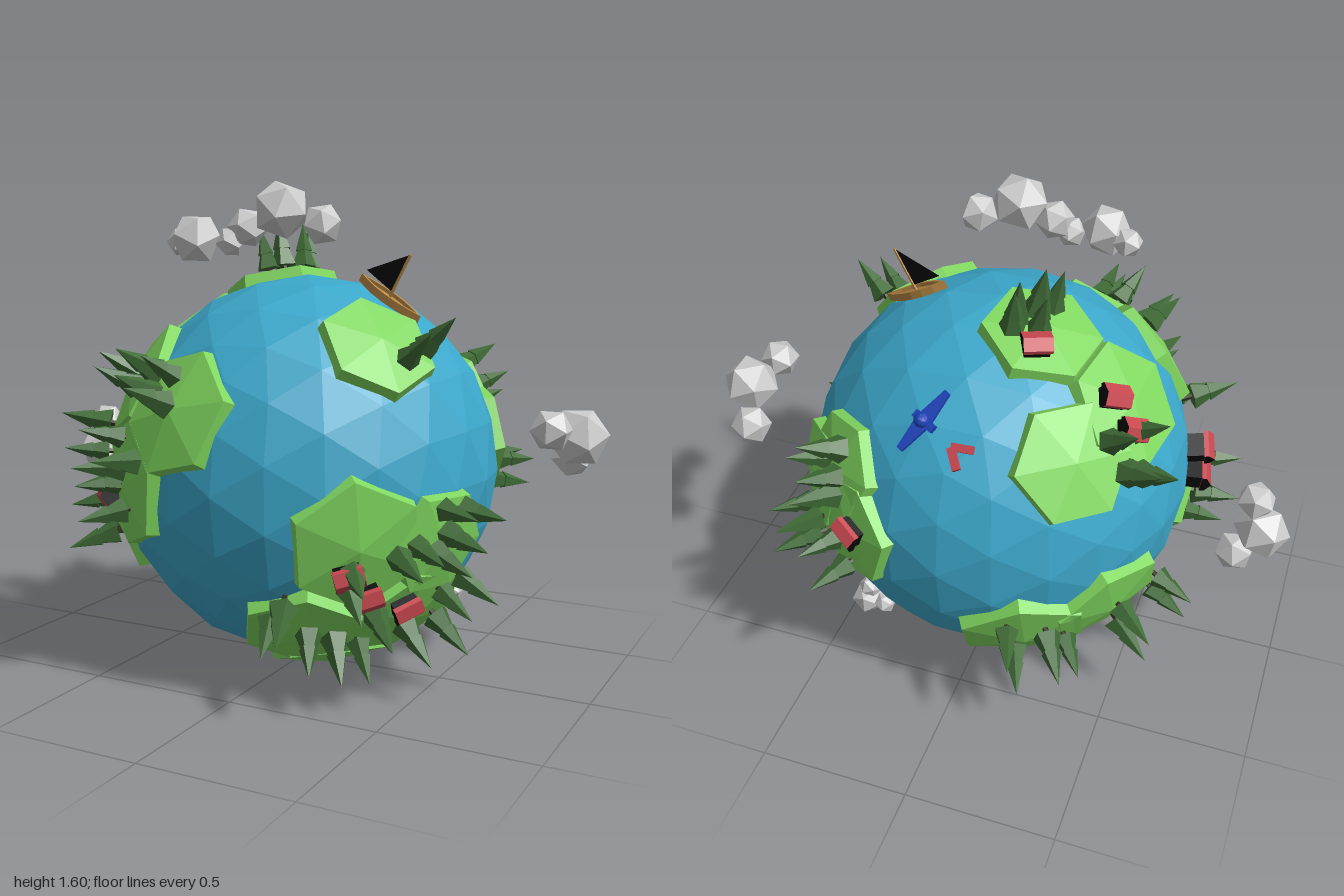
import * as THREE from 'three';
import { mergeGeometries } from 'three/addons/utils/BufferGeometryUtils.js';

const V = (x, y, z) => new THREE.Vector3(x, y, z);
const CENTRE = V(0, 0.665, -0.035);

function mat(name, color) {
  const m = new THREE.MeshStandardMaterial({ color, flatShading: true });
  m.name = name;
  return m;
}
const M = {
  ocean: mat('ocean blue', 0x3ca8cb),
  grass: mat('grass green', 0x80d75f),
  leaf: mat('tree green', 0x3f6b36),
  bark: mat('dark bark', 0x33301f),
  red: mat('roof red', 0xc8474f),
  black: mat('black', 0x0a0a0a),
  cloud: mat('cloud grey', 0xcdcdcd),
  wood: mat('boat wood', 0xba8a46),
  blue: mat('plane blue', 0x1f42b8),
};
M.black.side = THREE.DoubleSide;

function mesh(name, geo, material, parent) {
  const m = new THREE.Mesh(geo, material);
  m.name = name;
  parent.add(m);
  return m;
}

// Stand an object on the globe: its y points outward, its z leans toward a given direction
function stand(obj, dir, radius, toward) {
  const n = dir.clone().normalize();
  const z = toward.clone().addScaledVector(n, -toward.dot(n)).normalize();
  const x = V().crossVectors(n, z);
  obj.quaternion.setFromRotationMatrix(new THREE.Matrix4().makeBasis(x, n, z));
  obj.position.copy(CENTRE).addScaledVector(n, radius);
  return obj;
}

// Map two coordinates on one side of the globe to an outward direction
const SIDES = {
  front: { u: V(1, 0, 0), v: V(0, 1, 0), d: V(0, 0, 1), o: [0, 0.665] },
  right: { u: V(0, 0, 1), v: V(0, 1, 0), d: V(1, 0, 0), o: [-0.035, 0.665] },
  top: { u: V(1, 0, 0), v: V(0, 0, 1), d: V(0, 1, 0), o: [0, -0.035] },
  backLeft: { u: V(-0.707, 0, 0.707), v: V(0.353, 0.866, 0.353), d: V(-0.612, 0.5, -0.612), o: [0, 0] },
};
function onSide(side, [a, b], radius) {
  const s = SIDES[side], p = a - s.o[0], q = b - s.o[1];
  const depth = Math.sqrt(Math.max(0, radius * radius - p * p - q * q));
  return V().addScaledVector(s.u, p).addScaledVector(s.v, q).addScaledVector(s.d, depth);
}

// Six-sided land plate, bent to follow the globe
function plateGeometry(r) {
  const g = new THREE.CylinderGeometry(r, r * 1.05, 0.06, 6, 1, false, Math.PI / 6);
  const p = g.attributes.position;
  for (let i = 0; i < p.count; i++) {
    const R = p.getY(i) > 0 ? 0.668 : 0.605;
    p.setY(i, Math.sqrt(R * R - p.getX(i) ** 2 - p.getZ(i) ** 2));
  }
  return g;
}

// Each island: plates as [x, y, z, size] from the globe centre
const ISLANDS = {
  frontLand: [[-0.17, 0.245, 0.588, 0.205], [-0.4, -0.015, 0.525, 0.21], [-0.45, 0.315, 0.366, 0.2], [-0.57, -0.2, 0.27, 0.19]],
  topLand: [[-0.47, 0.44, -0.15, 0.2], [-0.17, 0.62, -0.115, 0.19], [-0.37, 0.37, -0.41, 0.19]],
  backLand: [[-0.25, -0.31, -0.52, 0.22], [-0.5, -0.25, -0.36, 0.21]],
  boatLand: [[0.37, 0.43, 0.26, 0.185]],
  rightLand: [[0.468, -0.42, 0.2, 0.205], [0.42, -0.145, 0.485, 0.21], [0.596, -0.165, 0.25, 0.175],
    [0.2, -0.465, 0.42, 0.2], [0.156, -0.618, 0.15, 0.19]],
  backRightLand: [[0.5, 0.1, -0.41, 0.175], [0.34, 0.03, -0.56, 0.19], [0.39, 0.21, -0.48, 0.175]],
};

const TREES = {
  front: [[-0.42, 1.03], [-0.38, 0.99], [-0.27, 1.04], [-0.19, 1.04], [-0.26, 0.98], [-0.19, 0.95],
    [-0.42, 0.82], [-0.31, 0.75], [-0.39, 0.72], [-0.43, 0.66], [-0.39, 0.57], [-0.62, 0.82], [-0.56, 0.74],
    [-0.69, 0.63], [-0.69, 0.51], [-0.63, 0.54], [-0.66, 0.41], [-0.55, 0.44]],
  right: [[0.28, 0.62], [0.19, 0.61], [0.26, 0.54], [0.36, 0.51], [0.41, 0.48], [0.29, 0.48], [0.51, 0.44],
    [0.49, 0.37], [0.57, 0.31], [0.55, 0.25], [0.47, 0.2], [0.41, 0.18], [0.32, 0.14], [0.38, 0.27],
    [0.23, 0.2], [0.17, 0.31], [0.1, 0.35], [0.09, 0.2], [0.26, 1.1], [0.16, 1.13],
    [-0.57, 0.99], [-0.55, 0.92], [-0.61, 0.9], [-0.63, 0.84], [-0.65, 0.65], [-0.67, 0.56], [-0.55, 0.56], [-0.5, 0.65], [-0.58, 0.66]],
  top: [[-0.18, -0.2], [-0.1, -0.19], [-0.15, -0.13], [-0.19, -0.08], [-0.1, -0.23],
    [-0.58, -0.36], [-0.55, -0.28], [-0.48, -0.38]],
  backLeft: [[-0.3, -0.5], [-0.25, -0.6], [-0.16, -0.56], [-0.08, -0.61], [0.12, -0.55], [0.16, -0.64],
    [0.3, -0.5], [0.33, -0.58], [0.13, -0.03]],
};

const HOUSES = {
  front: [[-0.48, 0.6], [-0.665, 0.73], [-0.665, 0.61]],
  right: [[0.48, 0.44], [0.41, 0.36], [0.27, 0.3], [-0.65, 0.73]],
  top: [[-0.5, -0.28], [-0.43, -0.25], [-0.18, -0.25]],
};

// Clouds: puffs as [x, y, z, radius]
const CLOUDS = {
  topCloud: [[-0.33, 1.41, 0.22, 0.05], [-0.25, 1.42, 0.26, 0.085], [-0.14, 1.41, 0.23, 0.05],
    [-0.09, 1.455, 0.21, 0.065], [0.02, 1.51, 0.19, 0.095], [0.15, 1.465, 0.16, 0.067]],
  rightCloud: [[0.85, 0.845, 0, 0.068], [0.902, 0.81, -0.125, 0.098], [0.85, 0.725, -0.245, 0.07]],
  leftCloud: [[-0.875, 0.74, -0.09, 0.065], [-0.907, 0.63, -0.1, 0.093], [-0.83, 0.515, -0.1, 0.068]],
  smallCloud: [[0.38, 0.18, -0.39, 0.06], [0.37, 0.235, -0.39, 0.042], [0.31, 0.19, -0.41, 0.038]],
};

// Pointed oval outline for the boat
function hullShape(l, w) {
  const s = new THREE.Shape();
  s.moveTo(-l, 0);
  s.quadraticCurveTo(0, -2 * w, l, 0);
  s.quadraticCurveTo(0, 2 * w, -l, 0);
  return s;
}
function flatExtrude(shape, depth) {
  return new THREE.ExtrudeGeometry(shape, { depth, bevelEnabled: false, curveSegments: 6 });
}
function polygon(points) {
  return new THREE.Shape(points.map(([x, y]) => new THREE.Vector2(x, y)));
}

function makeBoat() {
  const boat = new THREE.Group();
  boat.name = 'boat';
  const rim = hullShape(0.135, 0.034);
  rim.holes.push(hullShape(0.115, 0.024));
  mesh('hullRim', flatExtrude(rim, 0.026).rotateX(-Math.PI / 2), M.wood, boat);
  mesh('hullFloor', flatExtrude(hullShape(0.125, 0.03), 0.014).rotateX(-Math.PI / 2), M.wood, boat);
  mesh('mast', new THREE.CylinderGeometry(0.005, 0.005, 0.17, 5).translate(0, 0.085, 0), M.wood, boat);
  mesh('sail', new THREE.ShapeGeometry(polygon([[0, 0.17], [-0.125, 0.045], [0, 0.035]])), M.black, boat);
  return boat;
}

function makePlane() {
  const plane = new THREE.Group();
  plane.name = 'plane';
  // Wing along z, nose toward +x
  const wing = polygon([[-0.01, -0.11], [0.01, -0.11], [0.026, 0], [0.01, 0.11], [-0.01, 0.11], [-0.026, 0]]);
  mesh('wing', flatExtrude(wing, 0.012).rotateX(-Math.PI / 2), M.blue, plane);
  mesh('body', new THREE.BoxGeometry(0.08, 0.02, 0.024), M.blue, plane);
  mesh('cockpit', new THREE.IcosahedronGeometry(0.024, 1).translate(0, 0.022, 0), M.blue, plane);
  for (const s of [-1, 1]) {
    const fin = mesh('tailFin', new THREE.BoxGeometry(0.07, 0.014, 0.024), M.red, plane);
    fin.position.set(-0.15, 0.005, s * 0.02);
    fin.rotation.y = s * 0.55;
  }
  return plane;
}

export function createModel() {
  const model = new THREE.Group();
  model.name = 'littlePlanet';

  mesh('ocean', new THREE.IcosahedronGeometry(0.637, 3), M.ocean, model).position.copy(CENTRE);

  // Land: each plate turns one edge toward a neighbour
  for (const [name, plates] of Object.entries(ISLANDS)) {
    const island = new THREE.Group();
    island.name = name;
    model.add(island);
    plates.forEach(([x, y, z, size], i) => {
      const other = plates[i ? 0 : 1] ?? [0.6, 0.1, 0.2];
      const toward = V(other[0] - x, other[1] - y, other[2] - z);
      stand(mesh('landPlate', plateGeometry(size), M.grass, island), V(x, y, z), 0, toward);
    });
  }

  // Trees
  const crown = mergeGeometries([
    new THREE.ConeGeometry(0.044, 0.12, 5).translate(0, 0.09, 0),
    new THREE.ConeGeometry(0.03, 0.1, 5).translate(0, 0.135, 0),
  ]);
  const trunk = new THREE.CylinderGeometry(0.009, 0.009, 0.06, 5).translate(0, 0.01, 0);
  for (const [side, spots] of Object.entries(TREES)) {
    spots.forEach((spot, i) => {
      const tree = new THREE.Group();
      tree.name = 'tree';
      mesh('crown', crown, M.leaf, tree);
      mesh('trunk', trunk, M.bark, tree);
      stand(tree, onSide(side, spot, 0.735), 0.648, V(Math.sin(i * 2), 0.3, Math.cos(i * 2)));
      tree.scale.setScalar(0.92 + 0.16 * ((i * 7) % 3) / 2);
      model.add(tree);
    });
  }

  // Houses: dark walls and gables under a red roof
  const roof = flatExtrude(polygon([[-0.036, 0], [0.036, 0], [0.036, 0.016], [0, 0.036], [-0.036, 0.016]]), 0.092).translate(0, 0.033, -0.046);
  const walls = new THREE.BoxGeometry(0.06, 0.06, 0.08).translate(0, 0.004, 0);
  for (const [side, spots] of Object.entries(HOUSES)) {
    for (const spot of spots) {
      const house = new THREE.Group();
      house.name = 'house';
      mesh('walls', walls, M.black, house);
      mesh('roof', roof, [M.black, M.red], house);
      model.add(stand(house, onSide(side, spot, 0.69), 0.65, side === 'front' ? V(1, 0.2, 0.2) : V(0.9, 0.3, -0.6)));
    }
  }

  // Clouds
  for (const [name, puffs] of Object.entries(CLOUDS)) {
    const cloud = new THREE.Group();
    cloud.name = name;
    model.add(cloud);
    puffs.forEach(([x, y, z, r], i) => {
      const puff = mesh('puff', new THREE.IcosahedronGeometry(r, 0), M.cloud, cloud);
      puff.position.set(x, y, z);
      puff.rotation.set(i, i * 0.7, 0);
    });
  }

  model.add(stand(makeBoat(), V(0.31, 0.57, 0.035), 0.634, V(-0.25, 0, 1)));
  model.add(stand(makePlane(), V(0.08, 0.485, -0.5), 0.68, V(-0.5, 0.5, 0.7)));
  return model;
}
